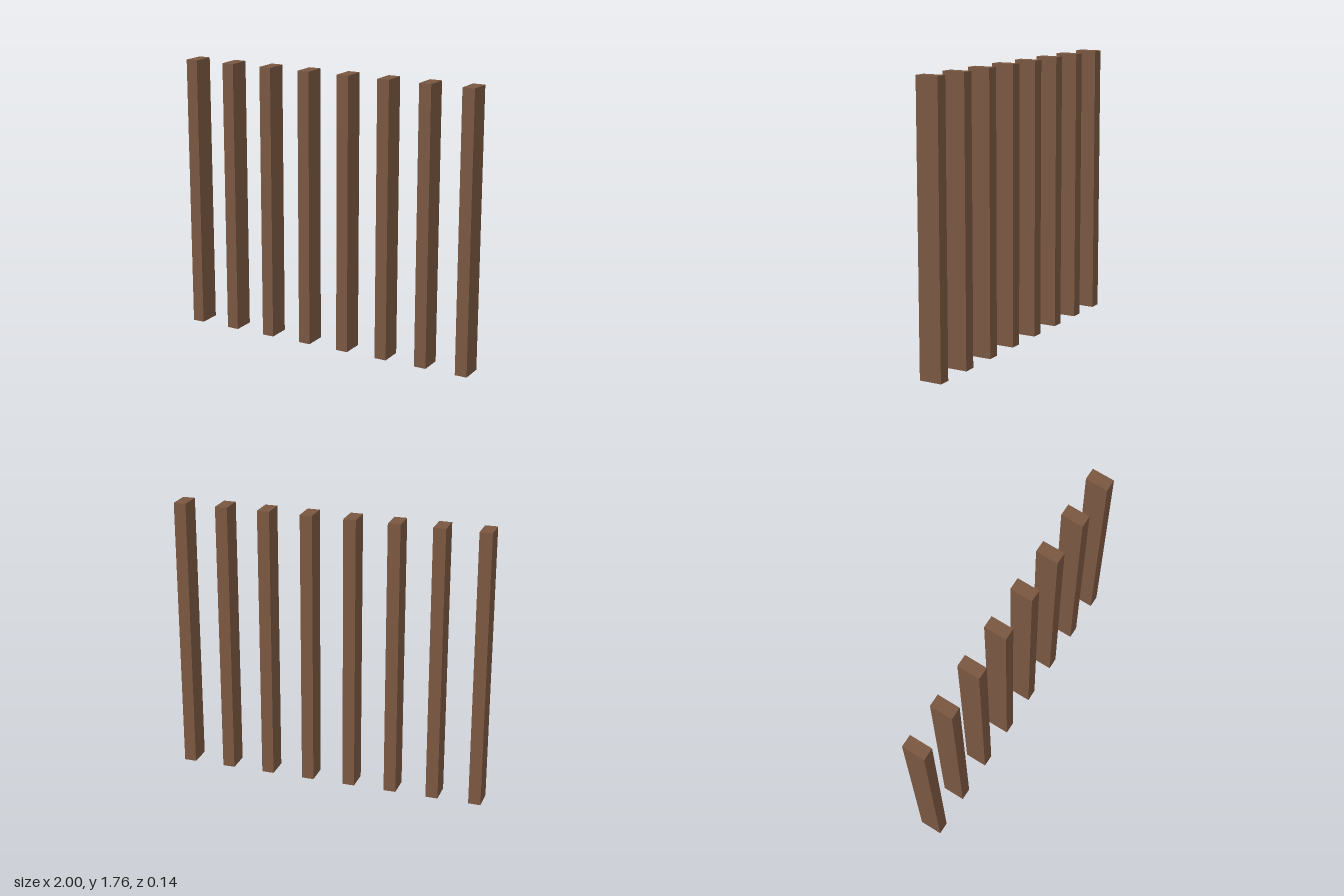
import * as THREE from 'three';

const COUNT = 8;
const WIDTH = 0.078, HEIGHT = 1.76, DEPTH = 0.144;

export function createModel() {
  const group = new THREE.Group();
  group.name = 'slatScreen';

  const wood = new THREE.MeshStandardMaterial({ color: 0x7a5741 });
  const slatGeometry = new THREE.BoxGeometry(WIDTH, HEIGHT, DEPTH);

  // Evenly spaced upright slats, outer faces at x = -1 and x = 1
  const spacing = (2 - WIDTH) / (COUNT - 1);
  for (let i = 0; i < COUNT; i++) {
    const slat = new THREE.Mesh(slatGeometry, wood);
    slat.name = `slat${i + 1}`;
    slat.position.set((i - (COUNT - 1) / 2) * spacing, HEIGHT / 2, 0);
    group.add(slat);
  }
  return group;
}
